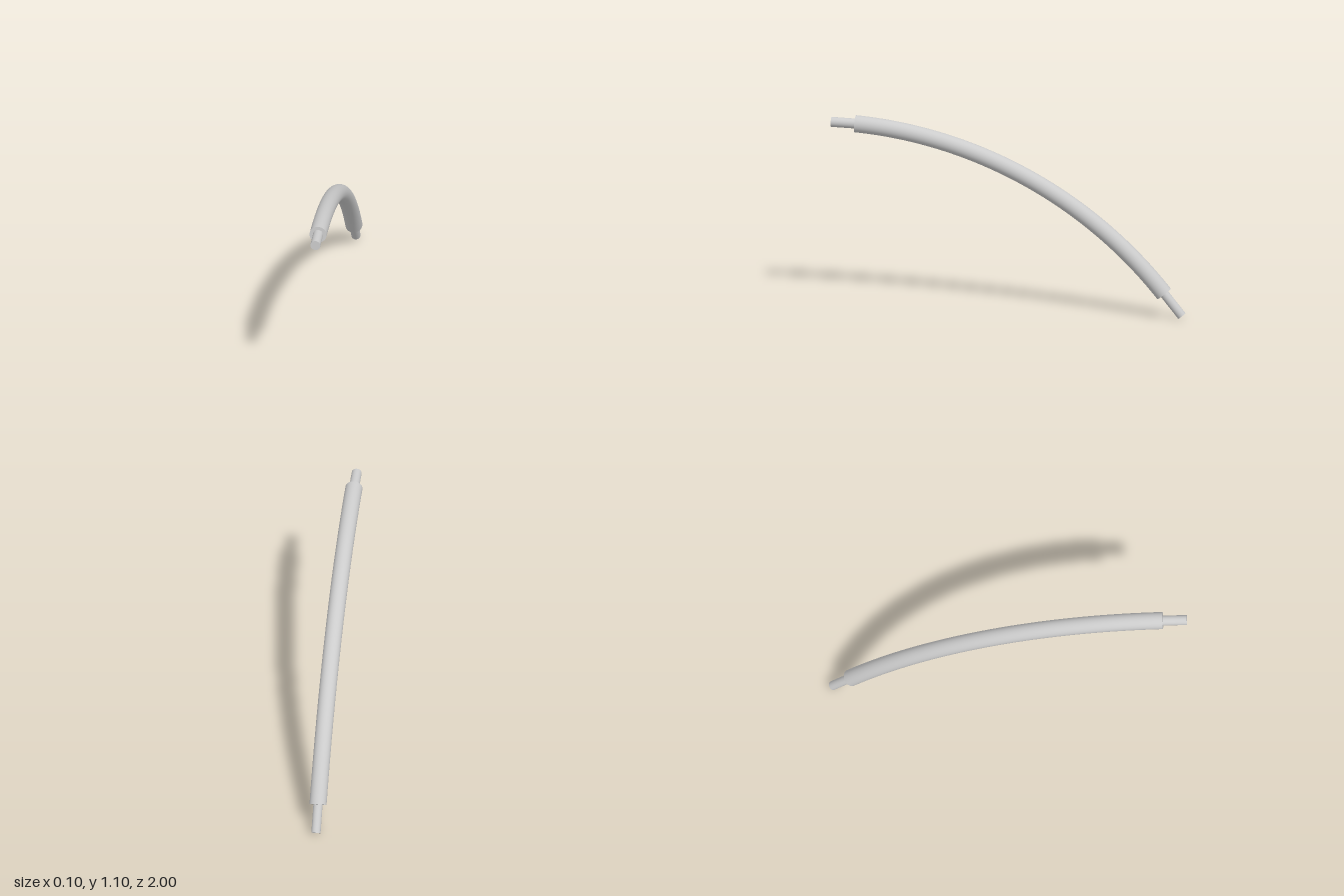
import * as THREE from 'three';

const material = new THREE.MeshStandardMaterial({ color: 0xcccccc });

// Arc of the rod in the yz plane; angles run from the front end to the back end
const R = 2.45, CY = -1.389, CZ = 1.036;
const A0 = THREE.MathUtils.degToRad(4), A1 = THREE.MathUtils.degToRad(51.4);

// Bend an upright cylinder along the arc, turning its normals with it
function bentRod(radius) {
  const geo = new THREE.CylinderGeometry(radius, radius, 1, 40, 56);
  const p = geo.attributes.position, n = geo.attributes.normal;
  for (let i = 0; i < p.count; i++) {
    const a = THREE.MathUtils.lerp(A0, A1, p.getY(i) + 0.5);
    const s = Math.sin(a), c = Math.cos(a), r = R + p.getZ(i);
    p.setXYZ(i, p.getX(i), CY + r * c, CZ - r * s);
    const ny = n.getY(i), nz = n.getZ(i);
    n.setXYZ(i, n.getX(i), nz * c - ny * s, -nz * s - ny * c);
  }
  return geo;
}

// Straight round peg between two points
function peg(name, from, to, radius) {
  const dir = to.clone().sub(from);
  const mesh = new THREE.Mesh(new THREE.CylinderGeometry(radius, radius, dir.length(), 32), material);
  mesh.position.copy(from).addScaledVector(dir, 0.5);
  mesh.quaternion.setFromUnitVectors(new THREE.Vector3(0, 1, 0), dir.normalize());
  mesh.name = name;
  return mesh;
}

export function createModel() {
  const group = new THREE.Group();
  group.name = 'curvedRod';

  // Thick curved body
  const body = new THREE.Mesh(bentRod(0.048), material);
  body.name = 'curvedBody';
  group.add(body);

  // Thin pegs, each starting just inside the body
  const v = (y, z) => new THREE.Vector3(0, y, z);
  group.add(peg('frontPeg', v(1.055, 0.84), v(1.061, 1), 0.028));
  group.add(peg('backPeg', v(0.165, -0.86), v(0.016, -0.979), 0.026));
  return group;
}
